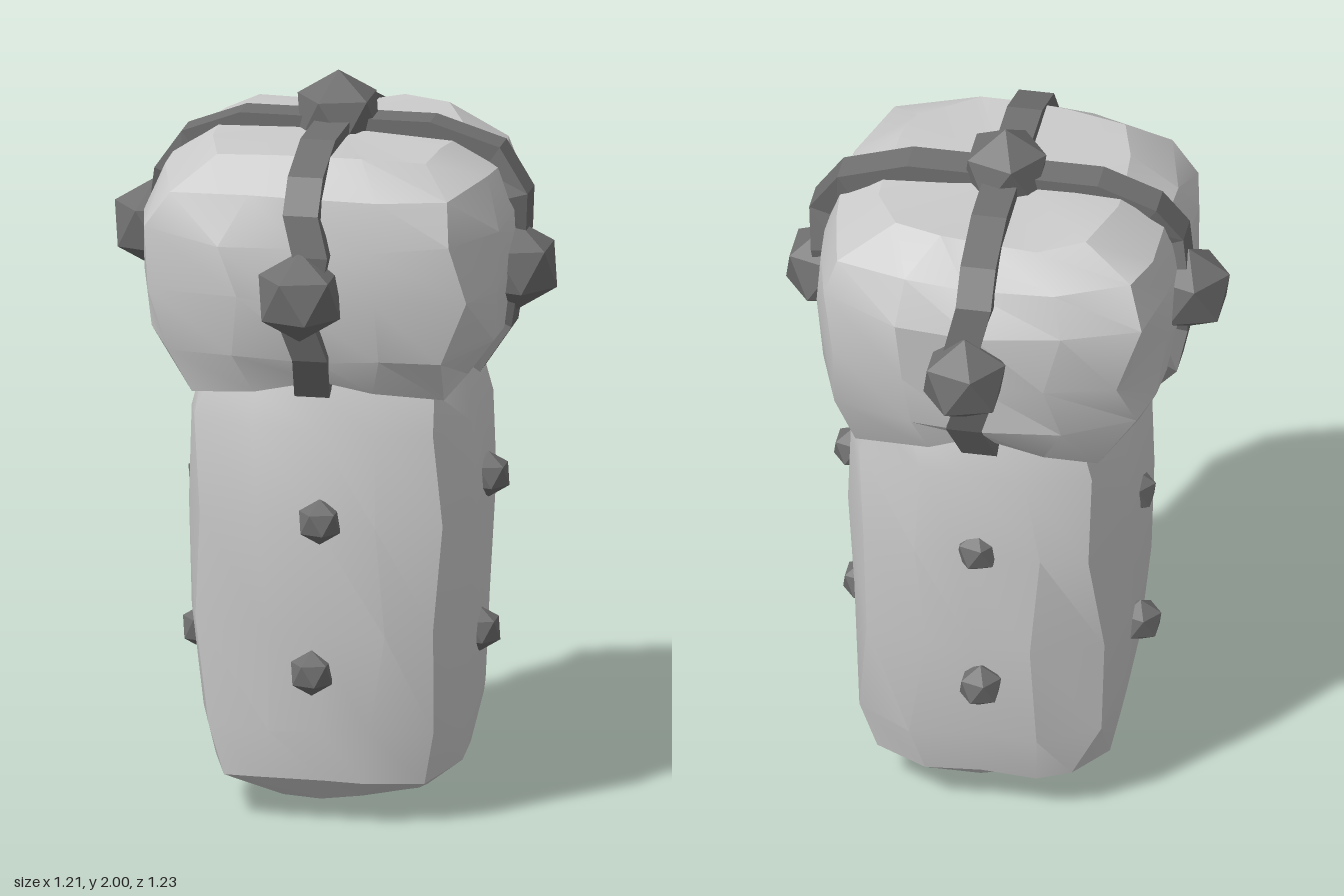
import * as THREE from 'three';
import { toCreasedNormals } from 'three/addons/utils/BufferGeometryUtils.js';

const stone = new THREE.MeshStandardMaterial({ color: 0xcccccc });
const iron = new THREE.MeshStandardMaterial({ color: 0x707070, flatShading: true });

// Repeatable noise in -1..1
function noise(seed) {
  const s = Math.sin(seed * 127.1 + 11.7) * 43758.5453;
  return 2 * (s - Math.floor(s)) - 1;
}

// Skin a stack of rings and close both ends with fans
function loft(rings, startCap, endCap) {
  const n = rings[0].length;
  const points = [...rings.flat(), startCap, endCap];
  const first = rings.length * n, last = first + 1, top = first - n;
  const index = [];
  for (let j = 0; j < n; j++) {
    const k = (j + 1) % n;
    for (let i = 0; i < rings.length - 1; i++) {
      const a = i * n + j, b = i * n + k;
      index.push(a, a + n, b + n, a, b + n, b);
    }
    index.push(first, j, k, last, top + k, top + j);
  }
  const geometry = new THREE.BufferGeometry().setFromPoints(points);
  geometry.setIndex(index);
  return geometry;
}

// Chiselled block: rounded-square rings [y, half width x, half depth z], corners shifted by droop
function chiselled(levels, { cx, cz, power, bottom, top, jitter, droop, seed }) {
  const sides = 16;
  const rings = levels.map(([y, hx, hz], i) => Array.from({ length: sides }, (_, j) => {
    const id = seed + i * sides + j;
    const a = (j / sides) * Math.PI * 2 + noise(id) * 0.09;
    const c = Math.cos(a), s = Math.sin(a);
    const r = (Math.abs(c) ** power + Math.abs(s) ** power) ** (-1 / power) * (1 + jitter * noise(id + 500));
    const corner = Math.sin(2 * a) ** 2;
    const dy = noise(id + 900) * jitter * 0.6 + (i === 0 ? droop * corner : 0);
    return new THREE.Vector3(cx + c * r * hx, y + dy, cz + s * r * hz);
  }));
  const geometry = loft(rings, new THREE.Vector3(cx, bottom, cz), new THREE.Vector3(cx, top, cz));
  return toCreasedNormals(geometry, 0.42);
}

// Flat band following an outer outline [u, y, sideways]; the band lies in the x or z direction
function strap(outline, alongZ) {
  const width = 0.048, depth = 0.08;
  const place = (u, y, w) => (alongZ ? new THREE.Vector3(w, y, u) : new THREE.Vector3(u, y, w));
  const rings = outline.map(([u, y, w], i) => {
    const p = outline[Math.max(i - 1, 0)], q = outline[Math.min(i + 1, outline.length - 1)];
    const du = q[0] - p[0], dy = q[1] - p[1], len = Math.hypot(du, dy);
    const normal = place(-dy / len, du / len, 0);
    const side = normal.clone().cross(place(du / len, dy / len, 0));
    return [[0, 1], [-1, 1], [-1, -1], [0, -1]].map(([d, s]) =>
      place(u, y, w).addScaledVector(normal, d * depth).addScaledVector(side, s * width));
  });
  const middle = (ring) => ring[0].clone().add(ring[2]).multiplyScalar(0.5);
  return loft(rings, middle(rings[0]), middle(rings[rings.length - 1]));
}

export function createModel() {
  const model = new THREE.Group();
  const add = (name, geometry, material) => {
    const mesh = new THREE.Mesh(geometry, material);
    mesh.name = name;
    model.add(mesh);
    return mesh;
  };

  // Column, slightly swollen in the middle, with a blunt foot
  add('column', chiselled([
    [0.04, 0.23, 0.23], [0.12, 0.33, 0.34], [0.26, 0.36, 0.37], [0.55, 0.38, 0.385],
    [0.85, 0.39, 0.395], [1.1, 0.385, 0.375], [1.21, 0.355, 0.355], [1.3, 0.33, 0.33],
  ], { cx: 0.02, cz: 0.01, power: 4.2, bottom: 0.005, top: 1.3, jitter: 0.02, droop: 0.03, seed: 3 }), stone);

  // Bulging head
  add('head', chiselled([
    [1.24, 0.4, 0.4], [1.32, 0.46, 0.455], [1.48, 0.48, 0.48], [1.64, 0.485, 0.485],
    [1.76, 0.44, 0.44], [1.84, 0.32, 0.33],
  ], { cx: 0, cz: 0, power: 4.4, bottom: 1.24, top: 1.85, jitter: 0.025, droop: -0.06, seed: 41 }), stone);

  // Two bands crossing over the head
  add('sideStrap', strap([
    [-0.38, 1.2, -0.01], [-0.48, 1.32, -0.04], [-0.5, 1.42, 0.01], [-0.51, 1.6, -0.03], [-0.49, 1.72, 0],
    [-0.42, 1.82, -0.02], [-0.26, 1.88, -0.02], [0, 1.88, -0.02], [0.26, 1.88, -0.02], [0.45, 1.82, -0.02],
    [0.53, 1.7, 0], [0.52, 1.58, -0.03], [0.5, 1.42, 0], [0.48, 1.32, -0.03], [0.4, 1.2, 0],
  ], false), iron);
  add('frontToBackStrap', strap([
    [-0.4, 1.2, 0], [-0.47, 1.32, 0.03], [-0.5, 1.42, 0], [-0.51, 1.6, 0.03], [-0.49, 1.73, 0],
    [-0.42, 1.82, 0], [-0.26, 1.88, 0], [0, 1.88, 0], [0.26, 1.88, 0], [0.43, 1.82, 0],
    [0.5, 1.73, 0], [0.52, 1.62, 0.03], [0.5, 1.42, -0.01], [0.47, 1.32, 0.02], [0.39, 1.2, 0.01],
  ], true), iron);

  // Faceted studs, each with a corner pointing up
  const studGeometry = new THREE.IcosahedronGeometry(1, 0);
  studGeometry.rotateZ(Math.atan(2 / (1 + Math.sqrt(5))));
  const addStuds = (name, radius, places) => places.forEach(([x, y, z]) => {
    const stud = add(name, studGeometry, iron);
    stud.position.set(x, y, z);
    stud.scale.setScalar(radius);
  });
  addStuds('headStud', 0.125, [
    [0, 1.875, -0.02], [0, 1.51, 0.51], [0.02, 1.52, -0.51], [0.49, 1.49, 0], [-0.5, 1.55, -0.02],
  ]);
  addStuds('columnStud', 0.063, [
    [0.035, 0.86, 0.41], [0.01, 0.435, 0.395], [0.01, 0.865, -0.365], [0, 0.44, -0.385],
    [0.415, 0.905, 0], [0.39, 0.475, 0], [-0.35, 0.86, 0], [-0.365, 0.44, 0],
  ]);
  return model;
}
